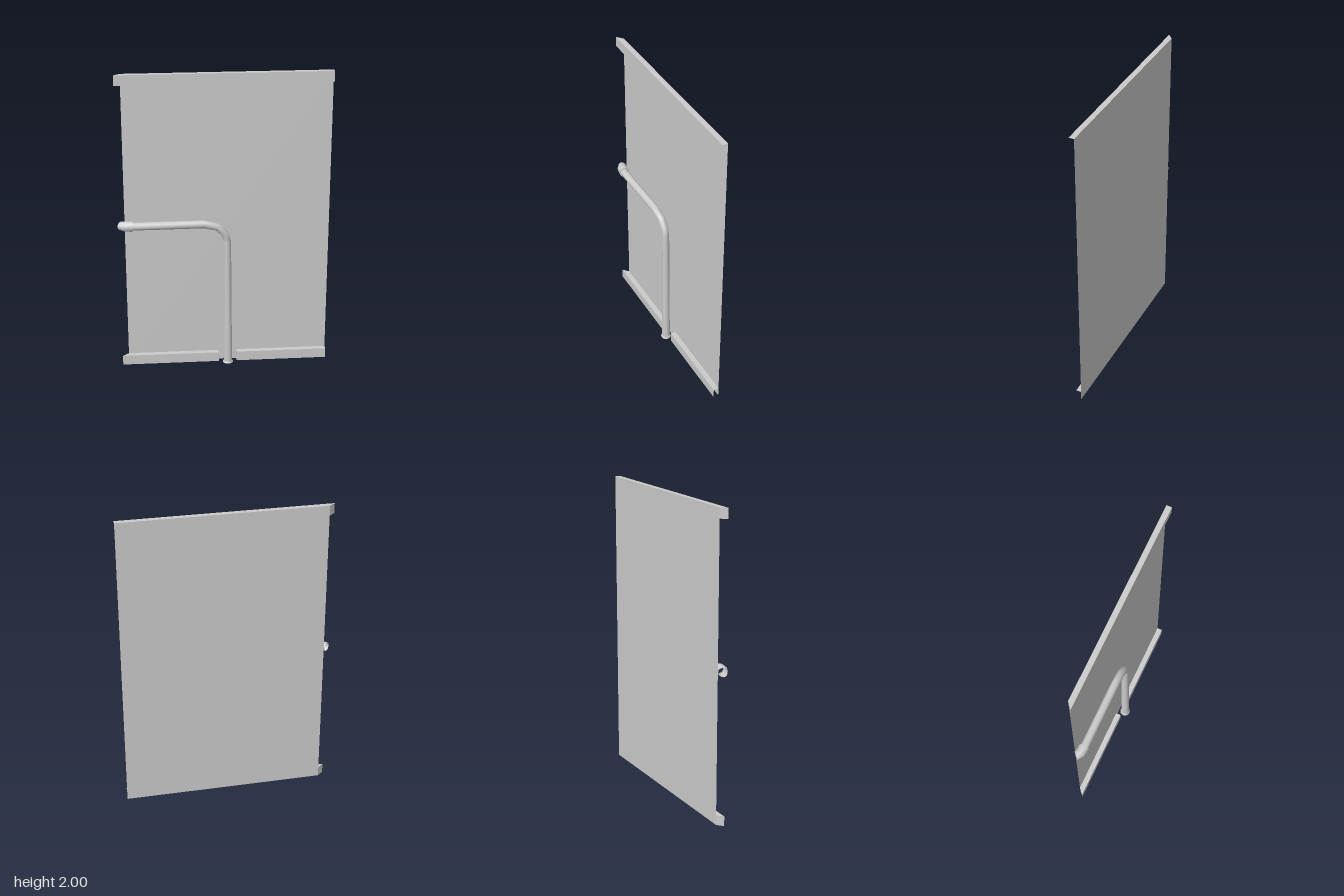
import * as THREE from 'three';

const SIDES = 14;
const BACK = -0.04, FRONT = -0.005, LEFT_EDGE = 0.685, RAIL_H = 0.066;

function makeMesh(name, geometry, doubleSided = false) {
  const material = new THREE.MeshStandardMaterial({ color: 0xcccccc });
  if (doubleSided) material.side = THREE.DoubleSide;
  const mesh = new THREE.Mesh(geometry, material);
  mesh.name = name;
  return mesh;
}

// Skin round rings; each ring is { p: centre, t: direction, r: radius },
// and side is the axis the path bends around.
function sweep(rings, side) {
  const pos = [], index = [];
  rings.forEach(({ p, t, r }, i) => {
    const c = new THREE.Vector3(...p);
    const n = side.clone().cross(new THREE.Vector3(...t).normalize());
    for (let j = 0; j < SIDES; j++) {
      const a = (j / SIDES) * Math.PI * 2;
      const v = c.clone().addScaledVector(n, r * Math.cos(a)).addScaledVector(side, r * Math.sin(a));
      pos.push(v.x, v.y, v.z);
      if (i === rings.length - 1) continue;
      const k = i * SIDES, a0 = k + j, a1 = k + (j + 1) % SIDES;
      index.push(a0, a1, a0 + SIDES, a1, a1 + SIDES, a0 + SIDES);
    }
  });
  const g = new THREE.BufferGeometry();
  g.setAttribute('position', new THREE.Float32BufferAttribute(pos, 3));
  g.setIndex(index);
  g.computeVertexNormals();
  return g;
}

// Folded rail: plan corners run back, front, front, back; the wall side stays open.
function rail(plan, y0, y1, closedEnd) {
  const pos = [];
  const quad = (...q) => [0, 1, 2, 0, 2, 3].forEach((i) => pos.push(...q[i]));
  const at = (y) => plan.map(([x, z]) => [x, y, z]);
  const lo = at(y0), hi = at(y1);
  for (let i = 0; i < (closedEnd ? 3 : 2); i++) quad(lo[i], lo[i + 1], hi[i + 1], hi[i]);
  quad(...hi);
  quad(...lo.slice().reverse());
  const g = new THREE.BufferGeometry();
  g.setAttribute('position', new THREE.Float32BufferAttribute(pos, 3));
  g.computeVertexNormals();
  return g;
}

export function createModel() {
  const model = new THREE.Group();
  model.name = 'pipedWallPanel';

  // Thin back panel
  const panel = makeMesh('backPanel', new THREE.PlaneGeometry(1.33, 2), true);
  panel.position.set(0.02, 1, BACK);
  model.add(panel);

  // Rails, mitred at the right end; the lower one is split around the pipe
  const mitre = [[-0.645, BACK], [-0.685, FRONT]];
  const end = [[LEFT_EDGE, FRONT], [LEFT_EDGE, BACK]];
  model.add(makeMesh('topRail', rail([...mitre, ...end], 2 - RAIL_H, 2, false)));
  model.add(makeMesh('bottomRailRight', rail([...mitre, [-0.04, FRONT], [-0.04, BACK]], 0, RAIL_H, true)));
  model.add(makeMesh('bottomRailLeft', rail([[0.08, BACK], [0.08, FRONT], ...end], 0, RAIL_H, false)));

  // Bent pipe
  const path = [
    [0.021, 0, 0.028], [0.018, 0.88, 0.023], [0, 0.936, 0.024],
    [-0.048, 0.984, 0.025], [-0.135, 1.005, 0.026], [-0.6, 1.004, 0.026],
  ];
  const rings = path.map(([x, y, r], i) => {
    const a = path[Math.max(i - 1, 0)], b = path[Math.min(i + 1, path.length - 1)];
    const d1 = new THREE.Vector2(x - a[0], y - a[1]).normalize();
    const d2 = new THREE.Vector2(b[0] - x, b[1] - y).normalize();
    const d = d1.add(d2);
    return { p: [x, y, 0.003], t: [d.x, d.y, 0], r };
  });
  model.add(makeMesh('pipe', sweep(rings, new THREE.Vector3(0, 0, 1))));

  // Foot flange
  const flange = makeMesh('pipeFlange', new THREE.CylinderGeometry(0.029, 0.035, 0.012, SIDES));
  flange.position.set(0.021, 0.006, 0.002);
  model.add(flange);

  // Elbow sleeve turning back to the mitre plane
  const y = 1.003;
  const sleeve = [
    { p: [-0.595, y, 0.002], t: [-1, 0, 0], r: 0.026 },
    { p: [-0.595, y, 0.002], t: [-1, 0, 0], r: 0.034 },
    { p: [-0.595, y, 0.002], t: [-1, 0, 0], r: 0.034 },
    { p: [-0.642, y, -0.005], t: [-1, 0, -0.4], r: 0.033 },
    { p: [-0.67, y, -0.02], t: [-1, 0, -1], r: 0.029 },
  ];
  model.add(makeMesh('elbowSleeve', sweep(sleeve, new THREE.Vector3(0, 1, 0)), true));

  return model;
}
